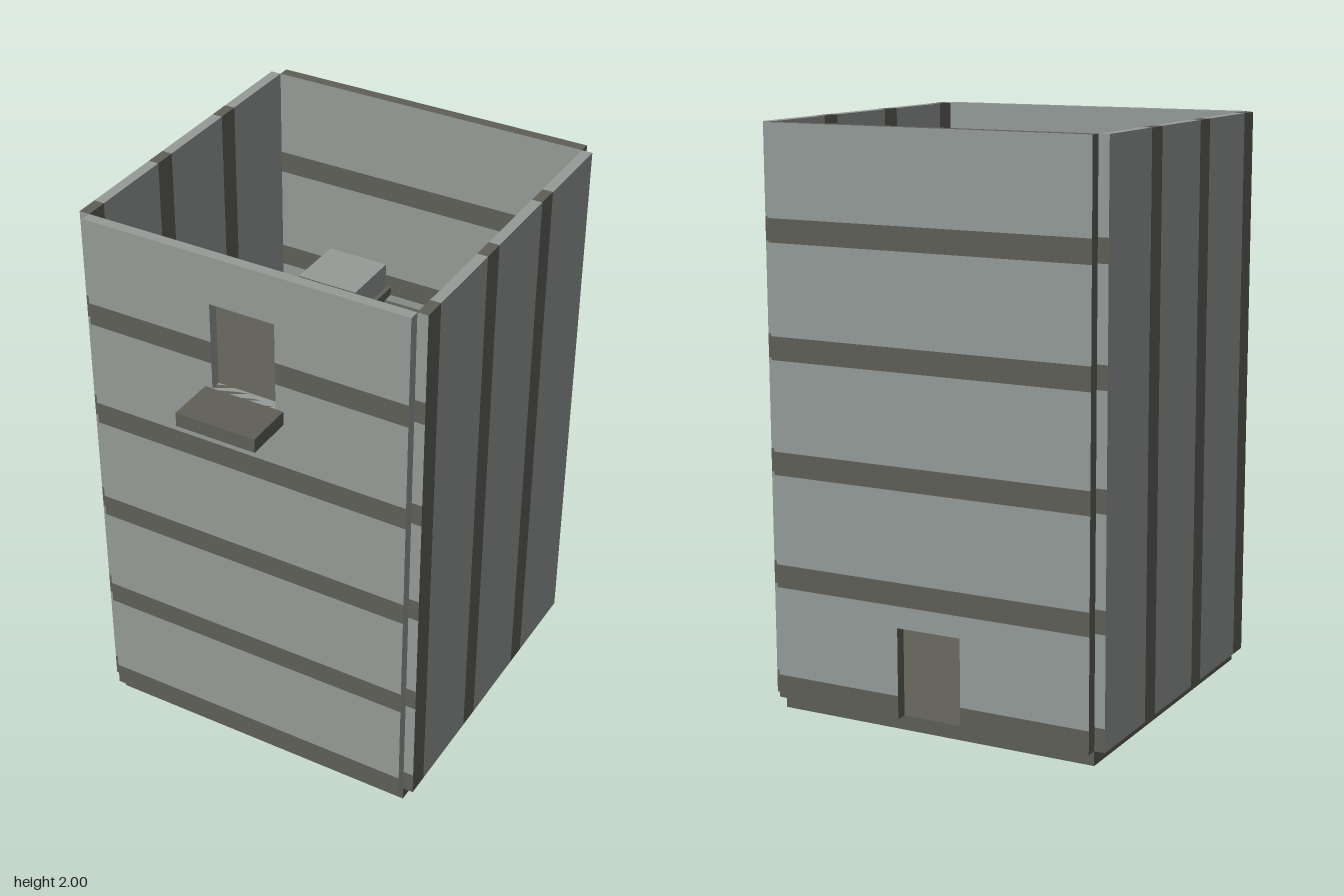
import * as THREE from 'three';

const PITCH = 0.39, BAND = 0.08;
const START = { y: 0.05, z: 0.42 };

// true when a coordinate lies inside a dark band
function inBand(v, start) {
  const t = (v - start) / PITCH;
  return (t - Math.floor(t)) * PITCH < BAND;
}

// sorted cut positions between lo and hi: band edges plus extra cuts
function cuts(lo, hi, start, extra = []) {
  const list = [lo, hi, ...extra];
  if (start !== undefined) {
    for (let k = -6; k <= 6; k++) list.push(start + k * PITCH, start + k * PITCH + BAND);
  }
  const inside = list.filter(v => v >= lo && v <= hi).sort((a, b) => a - b);
  return inside.filter((v, i) => i === 0 || v - inside[i - 1] > 1e-5);
}

// banded block, optionally with an opening cut through in z.
// Faces along z carry level bands, all others carry bands across z.
function bandedBlock(name, min, max, materials, hole) {
  const grid = [
    cuts(min[0], max[0], undefined, hole ? [hole.x0, hole.x1] : []),
    cuts(min[1], max[1], START.y, hole ? [hole.y0, hole.y1] : []),
    cuts(min[2], max[2], START.z)
  ];
  const mid = (a, i) => (grid[a][i] + grid[a][i + 1]) / 2;
  const solid = c => {
    if (c.some((i, a) => i < 0 || i >= grid[a].length - 1)) return false;
    const x = mid(0, c[0]), y = mid(1, c[1]);
    return !(hole && x > hole.x0 && x < hole.x1 && y > hole.y0 && y < hole.y1);
  };
  const faces = [[], []];
  const addFaces = c => {
    for (let a = 0; a < 3; a++) for (const s of [-1, 1]) {
      const next = c.slice();
      next[a] += s;
      if (solid(next)) continue;
      const u = (a + 1) % 3, v = (a + 2) % 3;
      const corner = (du, dv) => {
        const p = [0, 0, 0];
        p[a] = grid[a][c[a] + (s > 0 ? 1 : 0)];
        p[u] = grid[u][c[u] + du];
        p[v] = grid[v][c[v] + dv];
        return p;
      };
      const q = [corner(0, 0), corner(1, 0), corner(1, 1), corner(0, 1)];
      if (s < 0) q.reverse();
      const dark = a === 2 ? inBand(mid(1, c[1]), START.y) : inBand(mid(2, c[2]), START.z);
      faces[dark ? 1 : 0].push(...q[0], ...q[1], ...q[2], ...q[0], ...q[2], ...q[3]);
    }
  };
  for (let i = 0; i < grid[0].length - 1; i++)
    for (let j = 0; j < grid[1].length - 1; j++)
      for (let k = 0; k < grid[2].length - 1; k++)
        if (solid([i, j, k])) addFaces([i, j, k]);

  const geo = new THREE.BufferGeometry();
  geo.setAttribute('position', new THREE.Float32BufferAttribute(faces[0].concat(faces[1]), 3));
  geo.addGroup(0, faces[0].length / 3, 0);
  geo.addGroup(faces[0].length / 3, faces[1].length / 3, 1);
  geo.computeVertexNormals();
  const mesh = new THREE.Mesh(geo, materials);
  mesh.name = name;
  return mesh;
}

// plain box given by its extents
function slab(name, x0, x1, y0, y1, z0, z1, material) {
  const mesh = new THREE.Mesh(new THREE.BoxGeometry(x1 - x0, y1 - y0, z1 - z0), material);
  mesh.position.set((x0 + x1) / 2, (y0 + y1) / 2, (z0 + z1) / 2);
  mesh.name = name;
  return mesh;
}

export function createModel() {
  const stone = new THREE.MeshStandardMaterial({ color: 0x959b98 });
  stone.name = 'grey stone';
  const timber = new THREE.MeshStandardMaterial({ color: 0x5f5f58 });
  timber.name = 'dark timber';
  const mats = [stone, timber];
  const tower = new THREE.Group();
  tower.name = 'tower';

  // foundation
  tower.add(slab('foundation', -0.585, 0.585, 0, 0.05, -0.67, 0.5, timber));

  // four walls, with a window in front and a door behind
  const W = 0.585, T = 0.622;
  tower.add(
    bandedBlock('frontWall', [-W, 0.05, 0.5], [W, 2, 0.537], mats,
      { x0: -0.12, x1: 0.115, y0: 1.515, y1: 1.83 }),
    bandedBlock('backWall', [-W, 0.05, -0.71], [W, 2, -0.67], mats,
      { x0: -0.12, x1: 0.115, y0: 0.05, y1: 0.365 }),
    bandedBlock('leftWall', [W, 0.05, -0.67], [T, 2, 0.5], mats),
    bandedBlock('rightWall', [-T, 0.05, -0.67], [-W, 2, 0.5], mats)
  );

  // balcony and upper floor
  tower.add(slab('balcony', -0.147, 0.143, 1.465, 1.515, 0.5, 0.71, timber));
  tower.add(slab('upperFloor', -W, W, 1.465, 1.512, 0.09, 0.5, timber));

  // central pillar with a collar
  tower.add(bandedBlock('pillar', [-0.11, 0.04, -0.2], [0.105, 1.66, 0.01], mats));
  tower.add(slab('pillarCollar', -0.122, 0.12, 1.54, 1.57, -0.21, 0.03, timber));

  // winding stair: one turn of treads as [x0, x1, z0, z1], from the top down
  const turn = [
    [0.29, 0.56, -0.13, 0.12],
    [0.29, 0.56, -0.4, -0.13],
    [0.415, W, -0.67, -0.4],
    [-0.42, 0.415, -0.67, -0.4],
    [-W, -0.42, -0.67, -0.52],
    [-0.565, -0.3, -0.52, -0.285],
    [-0.565, -0.3, -0.285, -0.045],
    [-0.565, -0.3, -0.045, 0.2],
    [-W, W, 0.2, 0.5]
  ];
  const stair = new THREE.Group();
  stair.name = 'stair';
  for (let n = 1; n <= 17; n++) {
    const [x0, x1, z0, z1] = turn[(n - 1) % turn.length];
    const top = 1.512 - n * 0.08;
    stair.add(slab('tread', x0, x1, top - 0.04, top, z0, z1, timber));
  }
  tower.add(stair);
  return tower;
}
